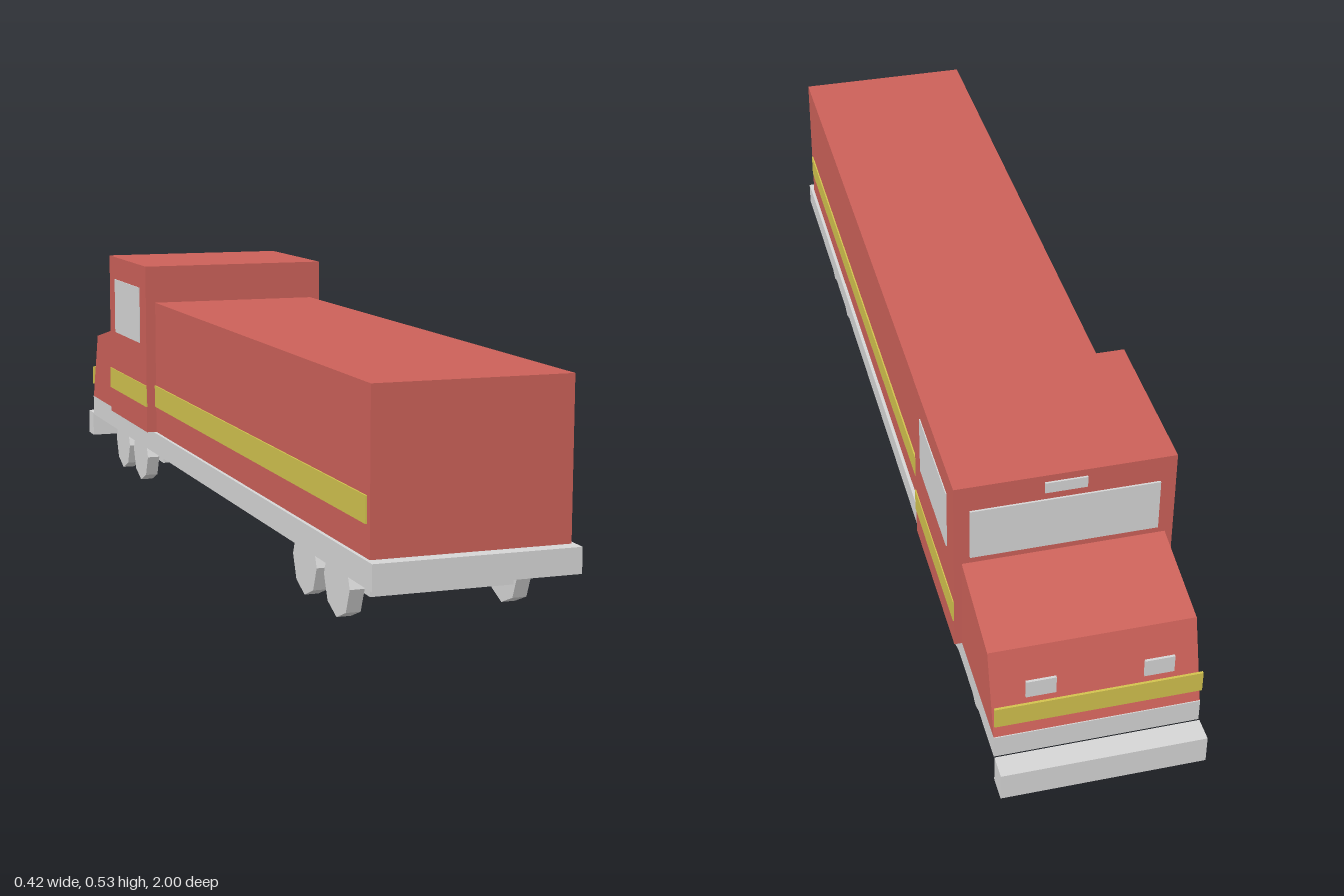
import * as THREE from 'three';

export function createModel() {
  const model = new THREE.Group();
  model.name = 'locomotive';

  const mat = (name, color) => {
    const m = new THREE.MeshStandardMaterial({ color });
    m.name = name;
    return m;
  };
  const red = mat('red paint', 0xcc6159);
  const grey = mat('light grey', 0xd6d6d6);
  const yellow = mat('yellow stripe', 0xd2c24e);

  const add = (name, geometry, material) => {
    const mesh = new THREE.Mesh(geometry, material);
    mesh.name = name;
    model.add(mesh);
    return mesh;
  };
  // Box given by its limits on each axis
  const box = (name, material, [x0, x1], [y0, y1], [z0, z1]) => {
    const mesh = add(name, new THREE.BoxGeometry(x1 - x0, y1 - y0, z1 - z0), material);
    mesh.position.set((x0 + x1) / 2, (y0 + y1) / 2, (z0 + z1) / 2);
    return mesh;
  };

  // Main volumes
  box('chassis', grey, [-0.195, 0.195], [0.1, 0.148], [-0.948, 1]);
  box('bumper', grey, [-0.195, 0.195], [0.045, 0.103], [-1, -0.953]);
  box('body', red, [-0.188, 0.188], [0.148, 0.447], [-0.37, 0.972]);
  box('cab', red, [-0.21, 0.21], [0.148, 0.53], [-0.7, -0.366]);

  // Sloping nose, side profile extruded across the width
  const profile = new THREE.Shape([
    [0.69, 0.148], [0.946, 0.148], [0.895, 0.31], [0.7, 0.35], [0.69, 0.35],
  ].map(([z, y]) => new THREE.Vector2(z, y)));
  const noseGeo = new THREE.ExtrudeGeometry(profile, { depth: 0.39, bevelEnabled: false });
  noseGeo.translate(0, 0, -0.195).rotateY(Math.PI / 2);
  add('nose', noseGeo, red);

  // Painted details on the ends of the cab and nose
  box('windshield', grey, [-0.18, 0.18], [0.365, 0.475], [-0.704, -0.699]);
  box('roofLamp', grey, [-0.04, 0.04], [0.492, 0.515], [-0.704, -0.699]);
  box('noseStripe', yellow, [-0.195, 0.195], [0.18, 0.224], [-0.952, -0.947]);

  for (const s of [-1, 1]) {
    const side = s < 0 ? 'right' : 'left';
    const span = (a, b) => (s > 0 ? [a, b] : [-b, -a]);
    box(side + 'Headlight', grey, span(0.082, 0.138), [0.243, 0.28], [-0.952, -0.947]);
    box(side + 'CabWindow', grey, span(0.208, 0.212), [0.349, 0.477], [-0.645, -0.42]);
    box(side + 'CabStripe', yellow, span(0.208, 0.212), [0.207, 0.256], [-0.698, -0.366]);
    box(side + 'BodyStripe', yellow, span(0.186, 0.191), [0.207, 0.256], [-0.366, 0.958]);
  }

  // Two bogies with two octagonal wheels on each side
  const wheelGeo = new THREE.CylinderGeometry(0.065, 0.065, 0.028, 8).toNonIndexed();
  wheelGeo.rotateZ(Math.PI / 2);
  wheelGeo.computeVertexNormals();
  for (const [end, z] of [['front', -0.641], ['rear', 0.697]]) {
    box(end + 'Bogie', grey, [-0.138, 0.138], [0.05, 0.1], [z - 0.152, z + 0.152]);
    for (const x of [-0.161, 0.161]) {
      for (const dz of [-0.084, 0.084]) {
        add(end + 'Wheel', wheelGeo, grey).position.set(x, 0.065, z + dz);
      }
    }
  }
  return model;
}
